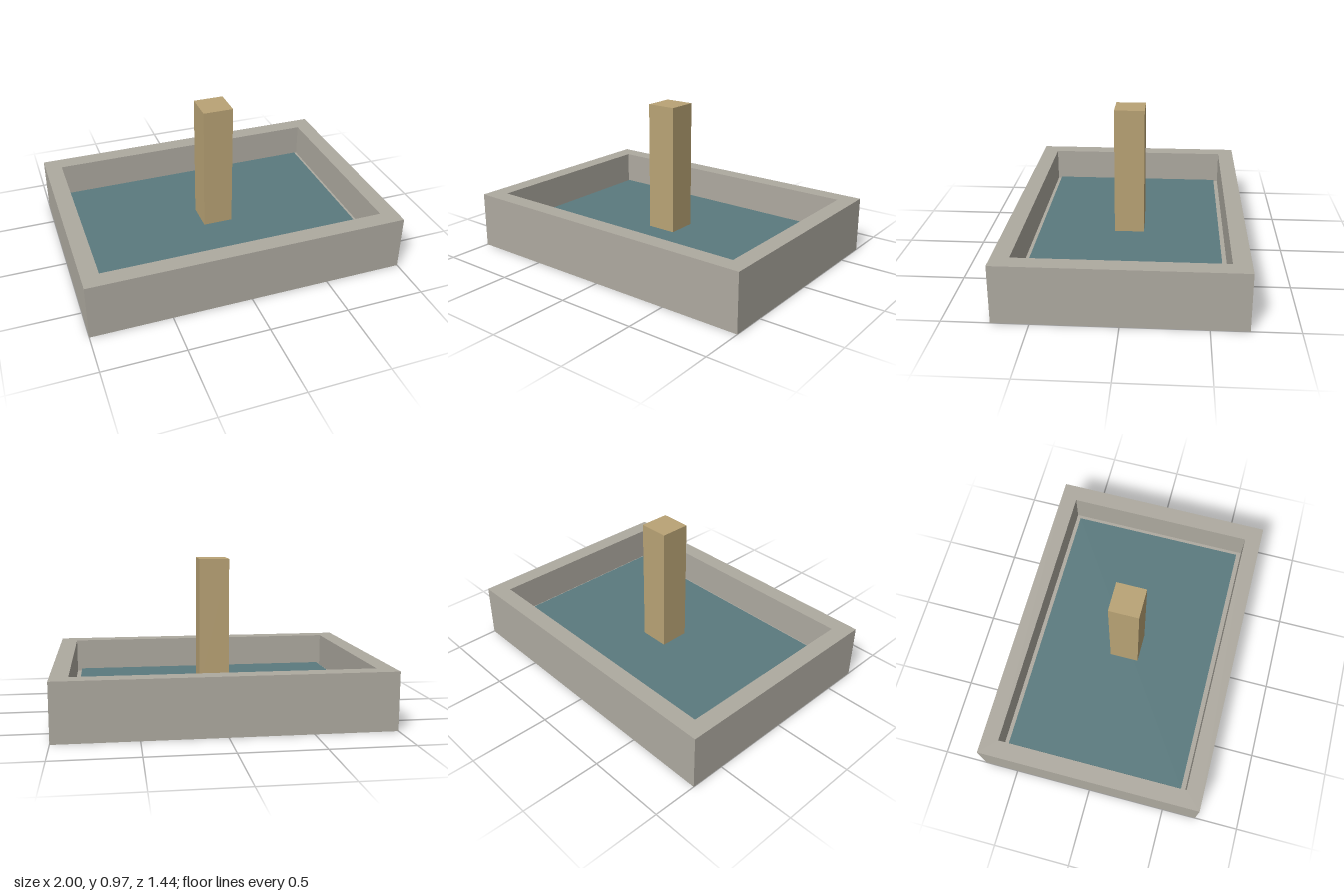
import * as THREE from 'three';

export function createModel() {
  const model = new THREE.Group();
  const paint = (name, color) => {
    const m = new THREE.MeshStandardMaterial({ color });
    m.name = name;
    return m;
  };
  const stone = paint('stone grey', 0xaeaaa0);
  const teal = paint('water teal', 0x5a7a7e);
  const wood = paint('sandy tan', 0xb9a375);

  const add = (name, geometry, material, y) => {
    const mesh = new THREE.Mesh(geometry, material);
    mesh.name = name;
    mesh.position.y = y;
    model.add(mesh);
    return mesh;
  };

  const height = 0.355, floorTop = 0.135, waterTop = 0.157;
  const outer = { x: 1, z: 0.72 }, inner = { x: 0.893, z: 0.613 };

  // Corner points of a rectangle centred on the origin
  const corners = ({ x, z }) => [[-x, -z], [x, -z], [x, z], [-x, z]].map(p => new THREE.Vector2(...p));

  // Basin wall: one rectangular ring standing on the ground
  const ring = new THREE.Shape(corners(outer));
  ring.holes.push(new THREE.Path(corners(inner)));
  const wall = new THREE.ExtrudeGeometry(ring, { depth: height, bevelEnabled: false });
  wall.rotateX(-Math.PI / 2);
  add('basinWall', wall, stone, 0);

  // Basin floor closes the ring
  add('basinFloor', new THREE.BoxGeometry(inner.x * 2, floorTop, inner.z * 2), stone, floorTop / 2);

  // Water slab, slightly smaller than the basin
  const depth = waterTop - floorTop;
  add('water', new THREE.BoxGeometry(1.722, depth, 1.166), teal, floorTop + depth / 2);

  // Square central post rising from the water
  const postTop = 0.973;
  const postHeight = postTop - floorTop;
  add('centrePost', new THREE.BoxGeometry(0.19, postHeight, 0.19), wood, floorTop + postHeight / 2);

  return model;
}
